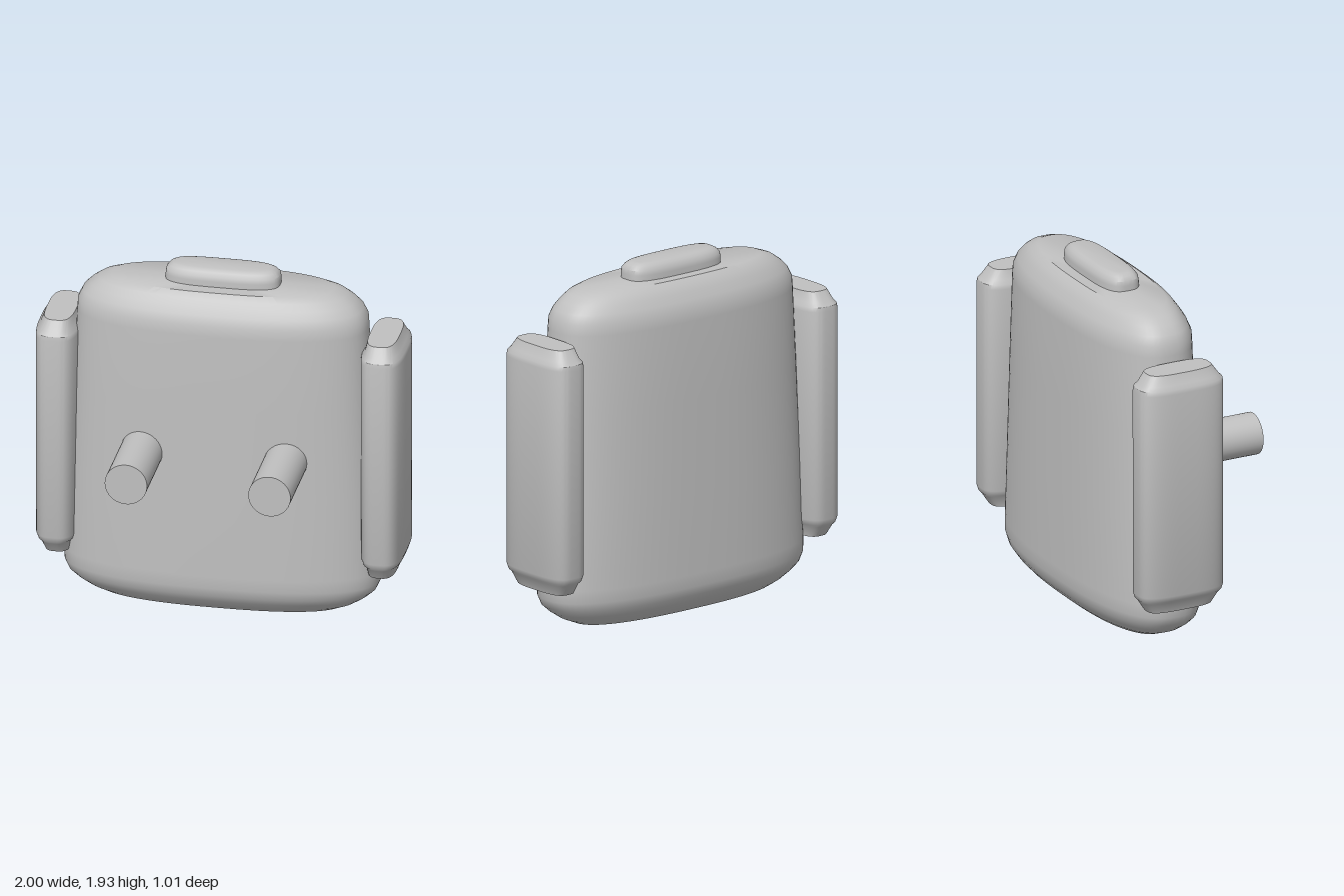
import * as THREE from 'three';
import { toCreasedNormals } from 'three/addons/utils/BufferGeometryUtils.js';

const SIDES = 72;

// Capped loft through rounded cross-sections; each ring is [y, halfWidth, halfDepth, xOffset]
function loft(rings, power) {
  const pos = [], index = [];
  const bend = (v) => Math.sign(v) * Math.abs(v) ** (2 / power);
  for (const [y, w, d, dx = 0] of rings) {
    for (let j = 0; j < SIDES; j++) {
      const t = (j / SIDES) * Math.PI * 2;
      pos.push(dx + w * bend(Math.cos(t)), y, d * bend(Math.sin(t)));
    }
  }
  for (let i = 0; i < rings.length - 1; i++) {
    for (let j = 0; j < SIDES; j++) {
      const k = (j + 1) % SIDES;
      const a = i * SIDES + j, b = i * SIDES + k;
      index.push(a, a + SIDES, b, b, a + SIDES, b + SIDES);
    }
  }
  // End caps
  const last = (rings.length - 1) * SIDES;
  const bottom = pos.length / 3, top = bottom + 1;
  const end = rings[rings.length - 1];
  pos.push(rings[0][3] || 0, rings[0][0], 0, end[3] || 0, end[0], 0);
  for (let j = 0; j < SIDES; j++) {
    const k = (j + 1) % SIDES;
    index.push(bottom, j, k, top, last + k, last + j);
  }
  const geo = new THREE.BufferGeometry();
  geo.setAttribute('position', new THREE.Float32BufferAttribute(pos, 3));
  geo.setIndex(index);
  return toCreasedNormals(geo, 0.6);
}

export function createModel() {
  const group = new THREE.Group();
  const grey = new THREE.MeshStandardMaterial({ color: 0xc0c0c0 });
  grey.name = 'light grey';

  const add = (name, geo, x, y, z) => {
    const mesh = new THREE.Mesh(geo, grey);
    mesh.name = name;
    mesh.position.set(x, y, z);
    group.add(mesh);
    return mesh;
  };

  // Main body, slightly wider at the bottom
  add('body', loft([
    [0, 0.66, 0.2], [0.03, 0.73, 0.235], [0.07, 0.79, 0.27], [0.11, 0.835, 0.295],
    [0.16, 0.857, 0.308], [0.23, 0.858, 0.308],
    [0.7, 0.835, 0.302], [1.2, 0.81, 0.296],
    [1.63, 0.788, 0.289], [1.69, 0.784, 0.285], [1.74, 0.76, 0.263],
    [1.78, 0.72, 0.238], [1.815, 0.67, 0.215], [1.84, 0.6, 0.18],
  ], 2.5), 0, 0, -0.195);

  // Raised cap on top
  add('topCap', loft([
    [1.8, 0.31, 0.112], [1.87, 0.31, 0.112], [1.895, 0.307, 0.108],
    [1.915, 0.29, 0.092], [1.926, 0.27, 0.077], [1.93, 0.245, 0.065],
  ], 3.2), 0, 0, -0.2);

  // Side pods with stepped ends
  for (const side of [1, -1]) {
    const label = side > 0 ? 'left' : 'right';
    add(label + 'SidePod', loft([
      [0.24, 0.075, 0.19, -side * 0.005], [0.3, 0.09, 0.228],
      [0.315, 0.105, 0.242], [0.345, 0.115, 0.251],
      [1.5, 0.117, 0.251], [1.525, 0.113, 0.247],
      [1.545, 0.097, 0.228], [1.6, 0.08, 0.19, -side * 0.005],
    ], 3.2), side * 0.883, 0, -0.21);

    // Front pegs
    const peg = add(label + 'Peg', new THREE.CylinderGeometry(0.115, 0.115, 0.55, 40),
      side * 0.39, 0.92, 0.235);
    peg.rotation.x = Math.PI / 2;
  }
  return group;
}
